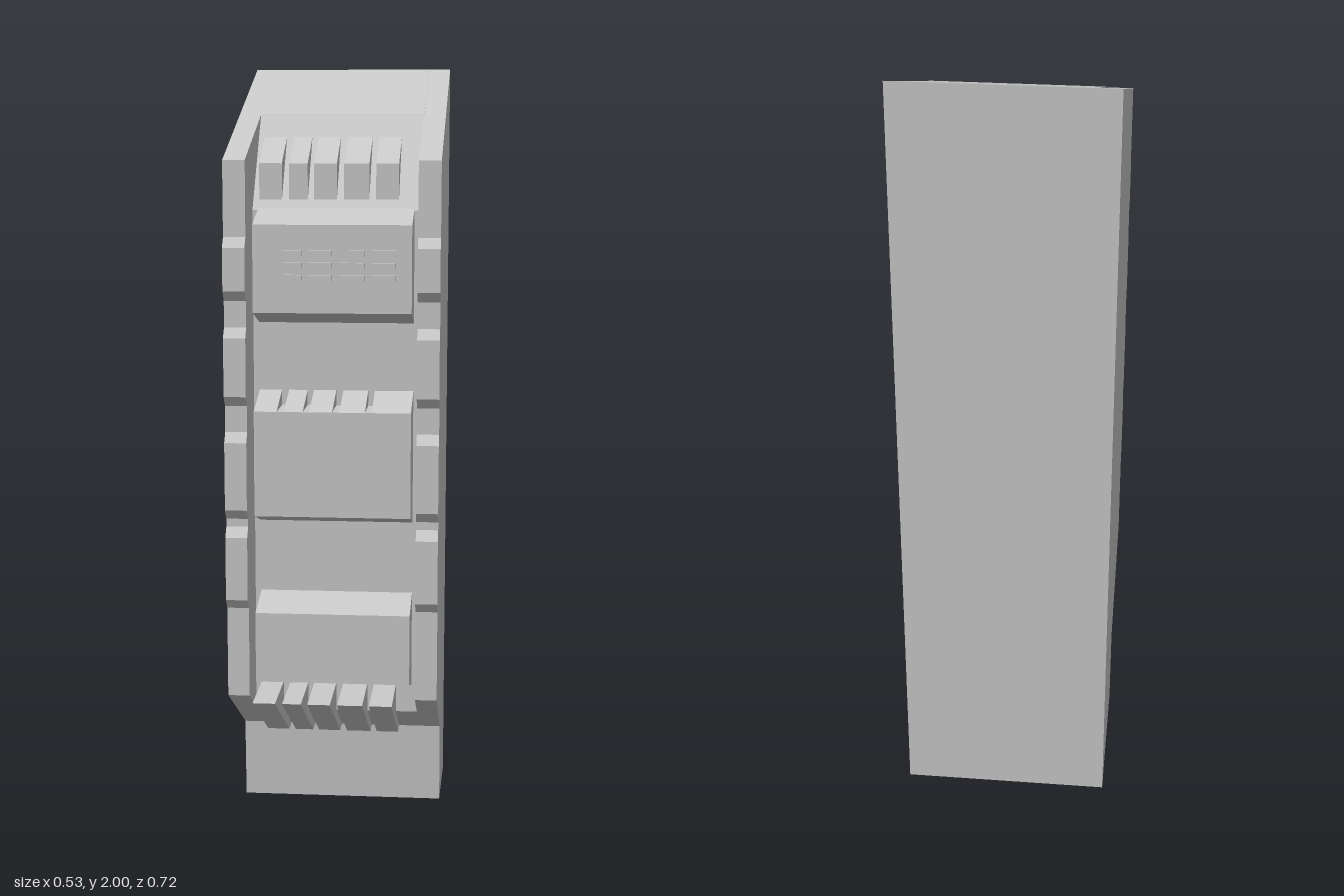
import * as THREE from 'three';

const material = new THREE.MeshStandardMaterial({ color: 0xcccccc, flatShading: true });

// Extrudes a side profile of [z, y] points across the width from x0 to x1
function slab(name, x0, x1, profile) {
  const shape = new THREE.Shape(profile.map(([z, y]) => new THREE.Vector2(z, y)));
  const geometry = new THREE.ExtrudeGeometry(shape, { depth: x1 - x0, bevelEnabled: false });
  geometry.rotateY(-Math.PI / 2);
  geometry.translate(x1, 0, 0);
  const mesh = new THREE.Mesh(geometry, material);
  mesh.name = name;
  return mesh;
}

export function createModel() {
  const model = new THREE.Group();
  model.name = 'tieredCasing';
  const add = (...args) => model.add(slab(...args));

  const halfWidth = 0.265, inner = 0.21, blockHalf = 0.195;
  const back = -0.36, panel = 0.17, front = 0.29;
  const strips = [[-0.195, -0.138], [-0.12, -0.073], [-0.057, 0], [0.018, 0.081], [0.098, 0.155]];

  // Recessed core between the cheeks
  add('core', -inner, inner, [
    [back, 0], [-0.01, 0.04], [0, 0.25], [panel, 0.346],
    [panel, 1.64], [-0.015, 1.88], [back, 2],
  ]);

  // Side cheeks with raised tabs along the front edge
  const tabs = [[0.65, 0.86], [0.88, 1.1], [1.165, 1.36], [1.425, 1.58]];
  for (const [side, x0, x1] of [['right', -halfWidth, -inner], ['left', inner, halfWidth]]) {
    add(side + 'Cheek', x0, x1, [
      [back, 0], [-0.01, 0.04], [0, 0.25], [0.3, 0.42], [0.3, 1.765], [back, 2],
    ]);
    for (const [low, high] of tabs) {
      add(side + 'Tab', x0, x1, [
        [0.29, low], [0.3, low], [0.32, low + 0.025], [0.32, high - 0.025], [0.3, high], [0.29, high],
      ]);
    }
  }

  // Three terminal blocks: upper and lower with sloped tops, middle with a flat seat for teeth
  const blocks = [
    ['lowerBlock', 0.42, 0.635, 0.67],
    ['middleBlock', 0.85, 1.15, 1.15],
    ['upperBlock', 1.36, 1.61, 1.65],
  ];
  for (const [name, bottom, topFront, topBack] of blocks) {
    add(name, -blockHalf, blockHalf, [
      [0.15, bottom], [panel, bottom], [front, bottom + 0.035], [front, topFront], [0.15, topBack],
    ]);
  }

  strips.forEach(([x0, x1], i) => {
    // Teeth standing out of the upper slope
    add('upperTooth', x0, x1, [[0, 1.64], [0.15, 1.64], [0.15, 1.755], [0.03, 1.82], [0, 1.82]]);

    // Ramp teeth on the middle block, the last one reaching its edge
    add('middleTooth', x0, i === 4 ? blockHalf : x1, [[0.15, 1.15], [front, 1.15], [0.15, 1.195]]);

    // Overhanging teeth at the foot
    add('footTooth', x0, x1, [[-0.01, 0.25], [0.055, 0.25], [0.36, 0.42], [0.15, 0.42]]);

    // Raised bars on the upper block
    if (i > 0) {
      for (const y of [1.475, 1.505, 1.535]) {
        add('bar', x0, x1, [[0.28, y], [0.305, y], [0.305, y + 0.014], [0.28, y + 0.014]]);
      }
    }
  });

  return model;
}
